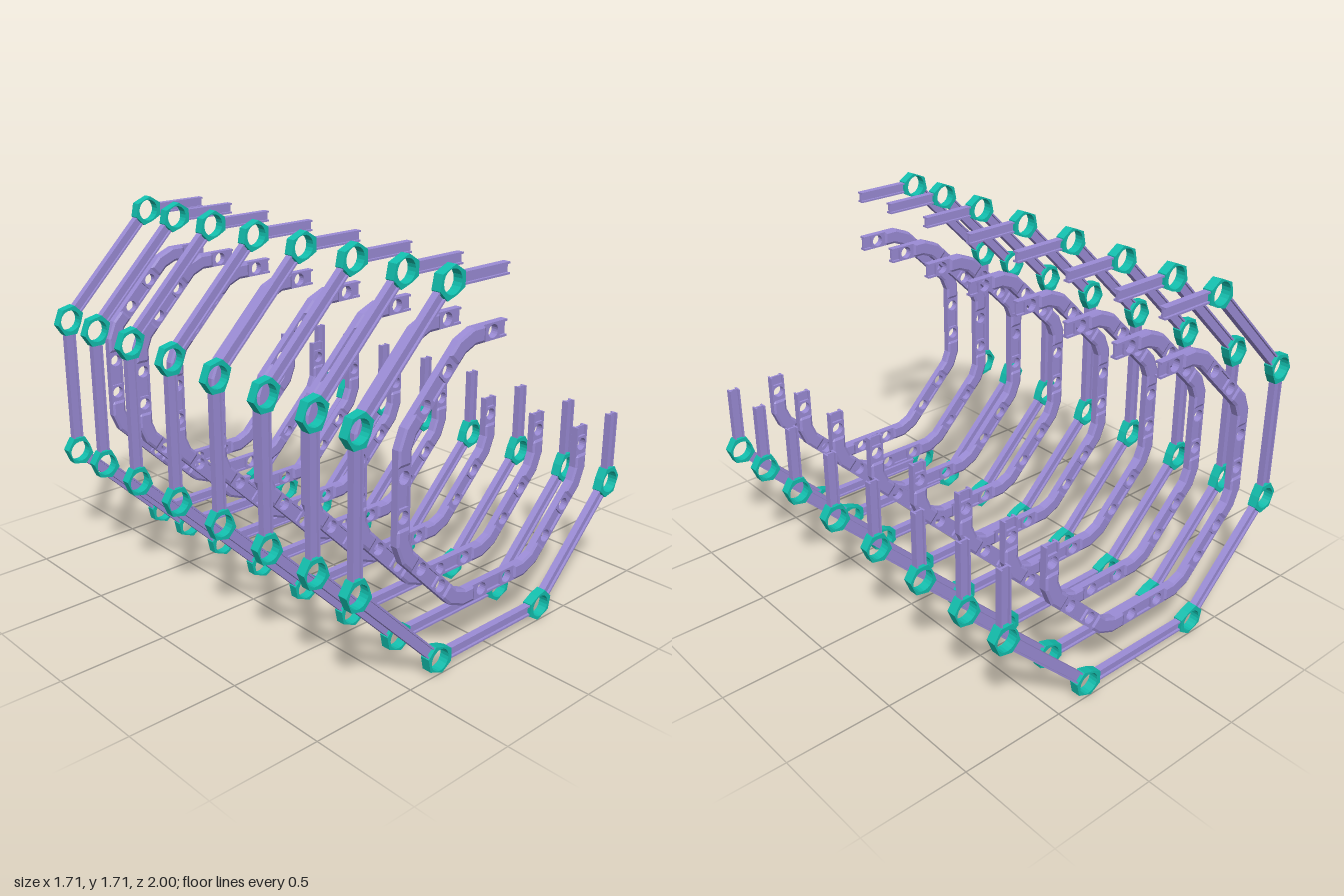
import * as THREE from 'three';
import { mergeGeometries } from 'three/addons/utils/BufferGeometryUtils.js';

const EIGHTH = Math.PI / 8; // half of one octagon corner
const CENTRE_Y = 0.854;
const OUTER = 0.79, INNER = 0.555; // distance from axis to beam centrelines
const OUTER_HALF = OUTER * Math.tan(EIGHTH);

const purple = new THREE.MeshStandardMaterial({ color: 0x9b8cd6, flatShading: true });
const teal = new THREE.MeshStandardMaterial({ color: 0x12bfae, flatShading: true });

// Prepare a geometry for merging
function plain(geo) {
  const g = geo.index ? geo.toNonIndexed() : geo;
  g.deleteAttribute('uv');
  return g;
}

// I-section along y, from t0 to t1 on one arm; flanges face inward and outward
function iBeam(apothem, sign, t0, t1, depth, width, flange, web) {
  const len = t1 - t0, y = -sign * (t0 + t1) / 2;
  const parts = [plain(new THREE.BoxGeometry(depth - 2 * flange, len, web).translate(apothem, y, 0))];
  for (const s of [-1, 1]) {
    parts.push(plain(new THREE.BoxGeometry(flange, len, width)
      .translate(apothem + s * (depth - flange) / 2, y, 0)));
  }
  return parts;
}

// Flat plate with a round hole, centred in z
function holedPlate(points, cx, cy, radius, thickness) {
  const shape = new THREE.Shape(points);
  const hole = new THREE.Path();
  hole.absarc(cx, cy, radius, 0, Math.PI * 2, true);
  shape.holes.push(hole);
  const geo = new THREE.ExtrudeGeometry(shape, { depth: thickness, bevelEnabled: false, curveSegments: 10 });
  return plain(geo.translate(0, 0, -thickness / 2));
}

// Two straight half-beams of the outer octagon
function outerBeams() {
  const parts = [];
  for (const s of [1, -1]) {
    for (const g of iBeam(OUTER, s, 0, OUTER_HALF - 0.062, 0.05, 0.033, 0.008, 0.01)) {
      parts.push(g.rotateZ(s * EIGHTH));
    }
  }
  return mergeGeometries(parts);
}

// Ring-shaped corner joint with a flat collar for each beam
function joint() {
  const x = OUTER / Math.cos(EIGHTH), pts = [];
  const polar = (deg, r) => {
    const a = THREE.MathUtils.degToRad(deg);
    pts.push(new THREE.Vector2(x + r * Math.cos(a), r * Math.sin(a)));
  };
  polar(-35, 0.066);
  polar(35, 0.066);
  polar(88.7, 0.074);
  polar(136.3, 0.074);
  polar(180, 0.058);
  polar(-136.3, 0.074);
  polar(-88.7, 0.074);
  return holedPlate(pts, x, 0, 0.05, 0.044);
}

// Solid elbow with raised side pads, lofted through mitred sections
function elbow() {
  const half = [[0.117, 0.016, 0], [0.126, 0.016, 0], [0.138, 0.022, 0], [0.19, 0.022, Math.tan(EIGHTH / 2)]];
  const stations = [
    ...half.map(h => [1, ...h]),
    ...half.slice().reverse().map(h => [-1, ...h]),
  ];
  const pos = [], index = [];
  for (const [s, t, h, mitre] of stations) {
    const section = [[0.035, -0.016], [0.035, 0.016], [0.024, h], [-0.024, h],
      [-0.035, 0.016], [-0.035, -0.016], [-0.024, -h], [0.024, -h]];
    for (const [r, z] of section) {
      const p = new THREE.Vector3(INNER + r, -s * (t + r * mitre), z);
      p.applyAxisAngle(new THREE.Vector3(0, 0, 1), s * EIGHTH);
      pos.push(p.x, p.y, p.z);
    }
  }
  for (let k = 0; k < stations.length - 1; k++) {
    for (let i = 0; i < 8; i++) {
      const a = k * 8 + i, b = k * 8 + (i + 1) % 8;
      index.push(a, b, b + 8, a, b + 8, a + 8);
    }
  }
  let geo = new THREE.BufferGeometry();
  geo.setAttribute('position', new THREE.Float32BufferAttribute(pos, 3));
  geo.setIndex(index);
  geo = geo.toNonIndexed();
  geo.computeVertexNormals();
  return geo;
}

// Inner frame corner: I-section mid-span, holed block, elbow, mirrored
function innerCorner() {
  const parts = [elbow()];
  for (const s of [1, -1]) {
    const arm = iBeam(INNER, s, 0, 0.044, 0.07, 0.032, 0.009, 0.01);
    const lo = Math.min(-s * 0.043, -s * 0.119), hi = Math.max(-s * 0.043, -s * 0.119);
    const x0 = INNER - 0.035, x1 = INNER + 0.035;
    const block = [[x0, lo], [x1, lo], [x1, hi], [x0, hi]].map(p => new THREE.Vector2(...p));
    arm.push(holedPlate(block, INNER, -s * 0.081, 0.028, 0.032));
    for (const g of arm) parts.push(g.rotateZ(s * EIGHTH));
  }
  return mergeGeometries(parts);
}

// Repeat one corner around the six built corners of the open octagon
function around(corner) {
  const copies = [];
  for (let i = 0; i < 6; i++) copies.push(corner.clone().rotateZ(-EIGHTH * (1 + 2 * i)));
  return mergeGeometries(copies);
}

export function createModel() {
  const model = new THREE.Group();
  model.name = 'hullFrames';
  const parts = [
    ['outerBeams', around(outerBeams()), purple],
    ['cornerJoints', around(joint()), teal],
    ['innerFrame', around(innerCorner()), purple],
  ];
  // Eight frames, closer together towards both ends
  for (const z of [-0.978, -0.743, -0.463, -0.156, 0.156, 0.463, 0.743, 0.978]) {
    const frame = new THREE.Group();
    frame.name = 'frame';
    frame.position.set(0, CENTRE_Y, z);
    for (const [name, geometry, material] of parts) {
      const mesh = new THREE.Mesh(geometry, material);
      mesh.name = name;
      frame.add(mesh);
    }
    model.add(frame);
  }
  return model;
}
